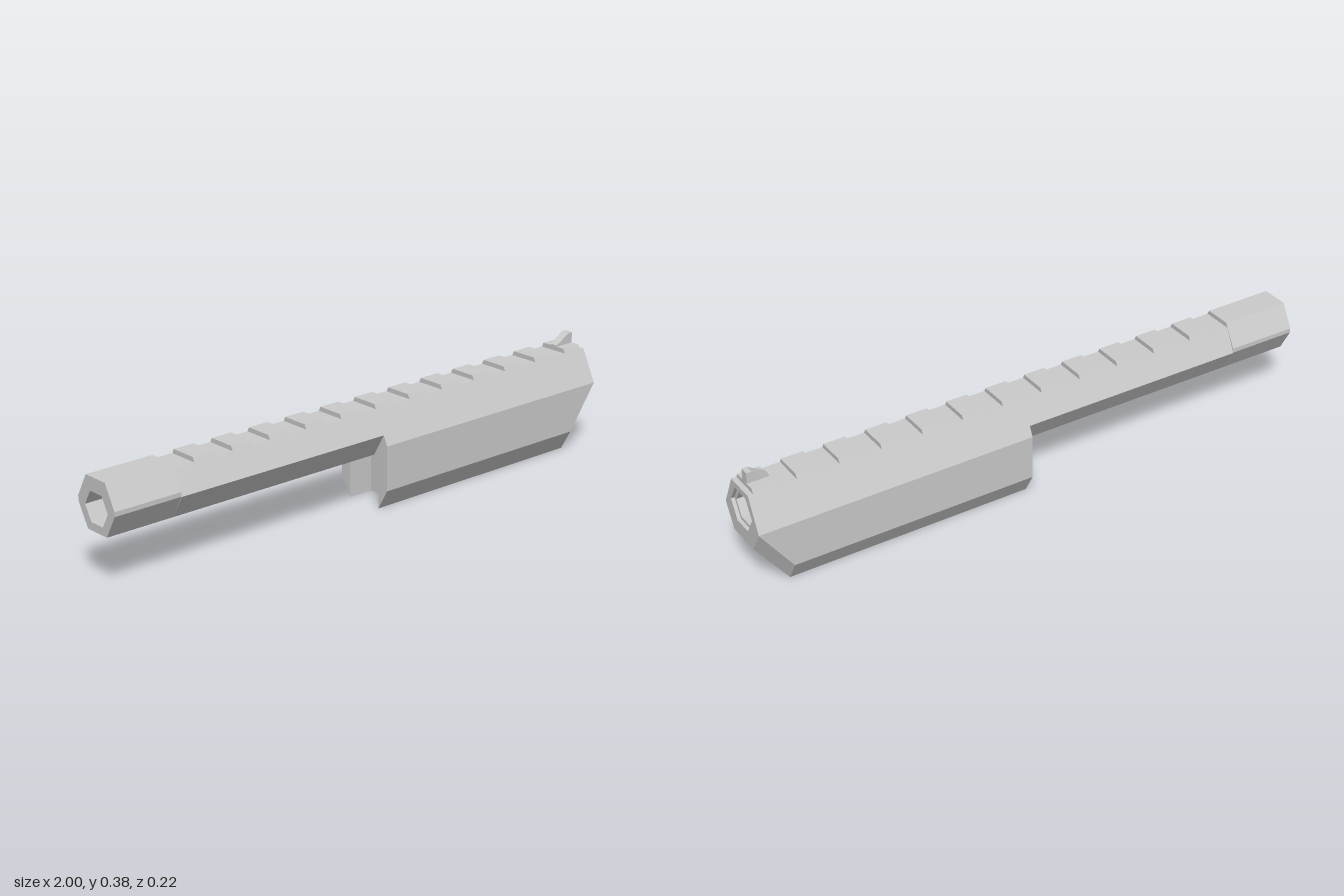
import * as THREE from 'three';

const BORE_Y = 0.253;

// Mirror a right-hand half outline (top to bottom) into a closed [z, y] outline
const mirror = (half) => [...half, ...half.map(([z, y]) => [-z, y]).reverse()];

// Hexagon outline round the bore axis
const hexagon = (r) => Array.from({ length: 6 }, (_, i) => {
  const a = (i * Math.PI) / 3;
  return [r * Math.cos(a), BORE_Y + r * Math.sin(a)];
});

const toVectors = (pts) => pts.map(([a, b]) => new THREE.Vector2(a, b));

// Extrude a [z, y] outline along x, with an optional hexagonal hole
function prism(outline, x0, x1, holeRadius) {
  const shape = new THREE.Shape(toVectors(outline));
  if (holeRadius) shape.holes.push(new THREE.Path(toVectors(hexagon(holeRadius))));
  const geo = new THREE.ExtrudeGeometry(shape, { depth: x1 - x0, bevelEnabled: false });
  geo.rotateY(Math.PI / 2);
  geo.translate(x0, 0, 0);
  return geo;
}

export function createModel() {
  const group = new THREE.Group();
  const material = new THREE.MeshStandardMaterial({ color: 0xcccccc, flatShading: true });
  const add = (name, geo) => {
    const mesh = new THREE.Mesh(geo, material);
    mesh.name = name;
    group.add(mesh);
  };

  const bore = 0.0566;
  const recess = 0.0687;

  // Rear barrel end and the long slim barrel
  add('rearBarrelEnd', prism(mirror([[0.047, 0.348], [0.09, 0.27], [0.09, 0.255], [0.047, 0.178]]), -1, -0.76, bore));
  add('barrel', prism(mirror([[0.054, 0.333], [0.092, 0.255], [0.047, 0.178]]), -0.76, 0.04, bore));

  // Deep housing: an open-bottomed pocket at its rear, then the full section
  const housing = [[0.054, 0.333], [0.108, 0.222], [0.108, 0.07], [0.068, 0]];
  add('housingPocket', prism(mirror([...housing, [0.068, 0.178]]), 0.04, 0.13, bore));
  add('housing', prism(mirror(housing), 0.13, 0.89, bore));

  // Nose: the front section is raised, its rear end drops to meet the housing
  const nose = prism(mirror([[0.054, 0.333], [0.108, 0.222], [0.108, 0.2215], [0.063, 0.145]]), 0.89, 1, recess);
  const p = nose.attributes.position;
  for (let i = 0; i < p.count; i++) {
    if (p.getX(i) > 0.95) continue;
    const y = p.getY(i);
    if (Math.abs(y - 0.2215) < 0.0002) p.setY(i, 0.07);
    else if (y < 0.15) {
      p.setY(i, 0);
      p.setZ(i, Math.sign(p.getZ(i)) * 0.068);
    }
  }
  nose.computeVertexNormals();
  add('nose', nose);
  add('muzzleLiner', prism(hexagon(recess), 0.88, 0.988, bore));

  // Rail teeth along the top
  const tooth = mirror([[0.0467, 0.348], [0.054, 0.333], [0.054, 0.325]]);
  for (let i = 0; i < 12; i++) {
    const x = -0.682 + i * 0.1445;
    add('railTooth', prism(tooth, x, x + 0.075));
  }

  // Ramped front sight
  const ramp = new THREE.Shape(toVectors([[0.908, 0.345], [0.982, 0.345], [0.982, 0.385], [0.965, 0.385], [0.908, 0.352]]));
  const sight = new THREE.ExtrudeGeometry(ramp, { depth: 0.03, bevelEnabled: false });
  sight.translate(0, 0, -0.015);
  add('frontSight', sight);

  return group;
}
